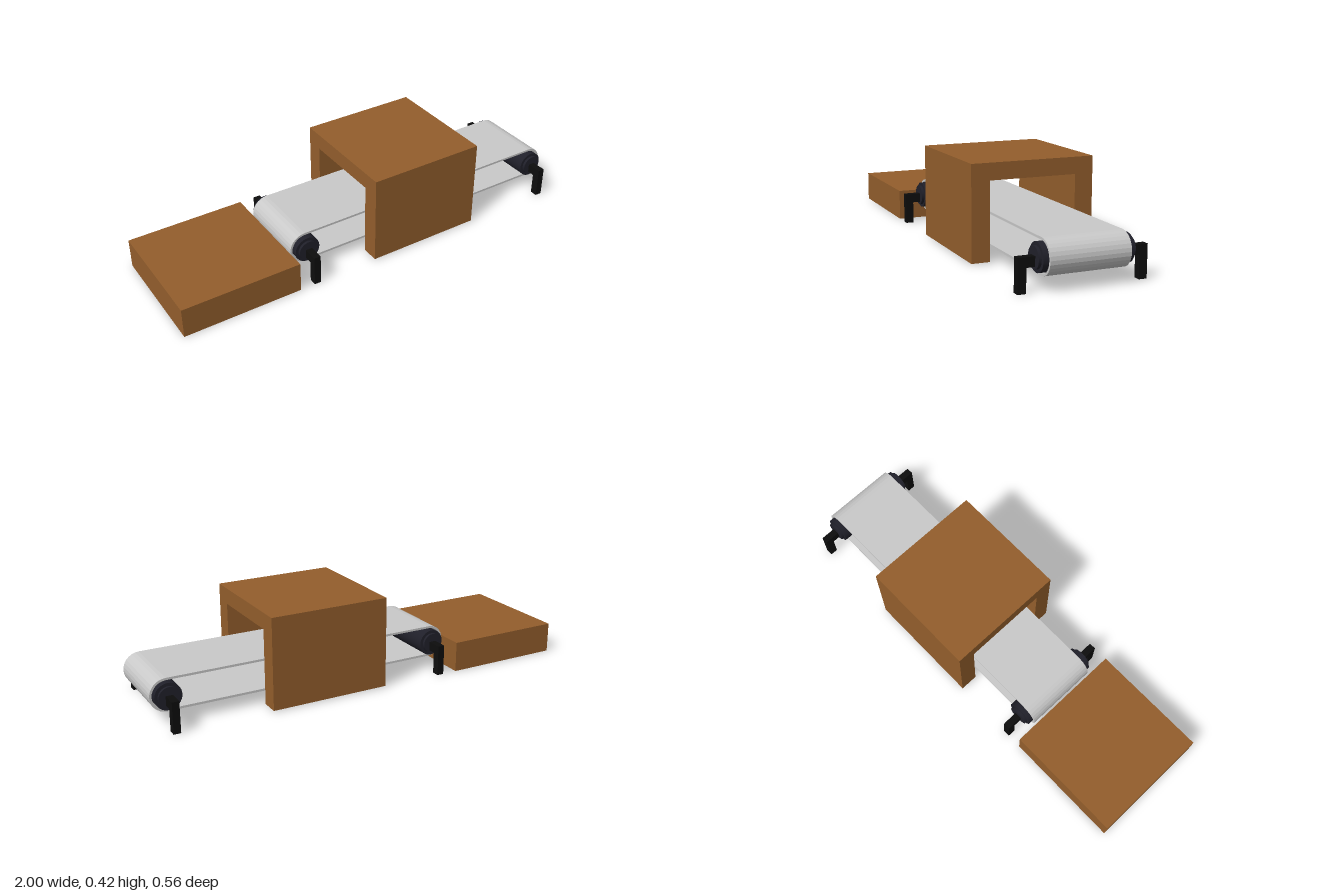
import * as THREE from 'three';

const wood = new THREE.MeshStandardMaterial({ color: 0x935e2c });
wood.name = 'wood brown';
const beltGrey = new THREE.MeshStandardMaterial({ color: 0xc9c9c9 });
beltGrey.name = 'belt grey';
const rollerDark = new THREE.MeshStandardMaterial({ color: 0x20202a });
rollerDark.name = 'roller dark';
const black = new THREE.MeshStandardMaterial({ color: 0x0d0d0d });
black.name = 'stand black';

const ROLLERS_X = [-0.36, 0.926];
const AXIS_Y = 0.132;

// Box given by its minimum and maximum corners
function box(name, material, [x0, y0, z0], [x1, y1, z1]) {
  const mesh = new THREE.Mesh(new THREE.BoxGeometry(x1 - x0, y1 - y0, z1 - z0), material);
  mesh.position.set((x0 + x1) / 2, (y0 + y1) / 2, (z0 + z1) / 2);
  mesh.name = name;
  return mesh;
}

// Stadium outline around both roller axes
function stadium(PathType, r) {
  const path = new PathType();
  path.absarc(ROLLERS_X[1], AXIS_Y, r, -Math.PI / 2, Math.PI / 2, false);
  path.absarc(ROLLERS_X[0], AXIS_Y, r, Math.PI / 2, Math.PI * 1.5, false);
  path.closePath();
  return path;
}

function createBelt() {
  const shape = stadium(THREE.Shape, 0.074);
  shape.holes.push(stadium(THREE.Path, 0.064));
  const geometry = new THREE.ExtrudeGeometry(shape, { depth: 0.346, bevelEnabled: false, curveSegments: 7 });
  geometry.translate(0, 0, -0.173);
  const belt = new THREE.Mesh(geometry, beltGrey);
  belt.name = 'belt';
  return belt;
}

function createRoller(x) {
  const roller = new THREE.Group();
  roller.name = 'roller';
  // Wide drum with a narrower hub at each end
  for (const [name, r, halfLength] of [['drum', 0.06, 0.195], ['hub', 0.046, 0.207]]) {
    const geometry = new THREE.CylinderGeometry(r, r, halfLength * 2, 32);
    geometry.rotateX(Math.PI / 2);
    const mesh = new THREE.Mesh(geometry, rollerDark);
    mesh.name = name;
    roller.add(mesh);
  }
  roller.position.set(x, AXIS_Y, 0);
  return roller;
}

// L-shaped bracket: post with an arm reaching the hub
function createStand(x, side) {
  const shape = new THREE.Shape();
  [[0.279, 0], [0.279, 0.141], [0.2, 0.141], [0.2, 0.1], [0.243, 0.1], [0.243, 0]]
    .forEach(([z, y], i) => (i ? shape.lineTo(z, y) : shape.moveTo(z, y)));
  const geometry = new THREE.ExtrudeGeometry(shape, { depth: 0.032, bevelEnabled: false });
  geometry.translate(0, 0, -0.016);
  const stand = new THREE.Mesh(geometry, black);
  stand.rotation.y = -side * Math.PI / 2;
  stand.position.x = x;
  stand.name = side > 0 ? 'frontStand' : 'backStand';
  return stand;
}

// Tunnel: upside-down U extruded along the belt
function createTunnel() {
  const shape = new THREE.Shape();
  [[-0.279, 0.005], [-0.196, 0.005], [-0.196, 0.348], [0.196, 0.348],
    [0.196, 0.005], [0.279, 0.005], [0.279, 0.422], [-0.279, 0.422]]
    .forEach(([z, y], i) => (i ? shape.lineTo(z, y) : shape.moveTo(z, y)));
  const geometry = new THREE.ExtrudeGeometry(shape, { depth: 0.555, bevelEnabled: false });
  geometry.rotateY(Math.PI / 2);
  geometry.translate(-0.059, 0, 0);
  const tunnel = new THREE.Mesh(geometry, wood);
  tunnel.name = 'tunnel';
  return tunnel;
}

export function createModel() {
  const model = new THREE.Group();
  model.name = 'conveyor';
  model.add(box('loadingTable', wood, [-1, 0, -0.279], [-0.446, 0.141, 0.279]));
  model.add(createTunnel(), createBelt());
  for (const x of ROLLERS_X) {
    model.add(createRoller(x), createStand(x, 1), createStand(x, -1));
  }
  return model;
}
